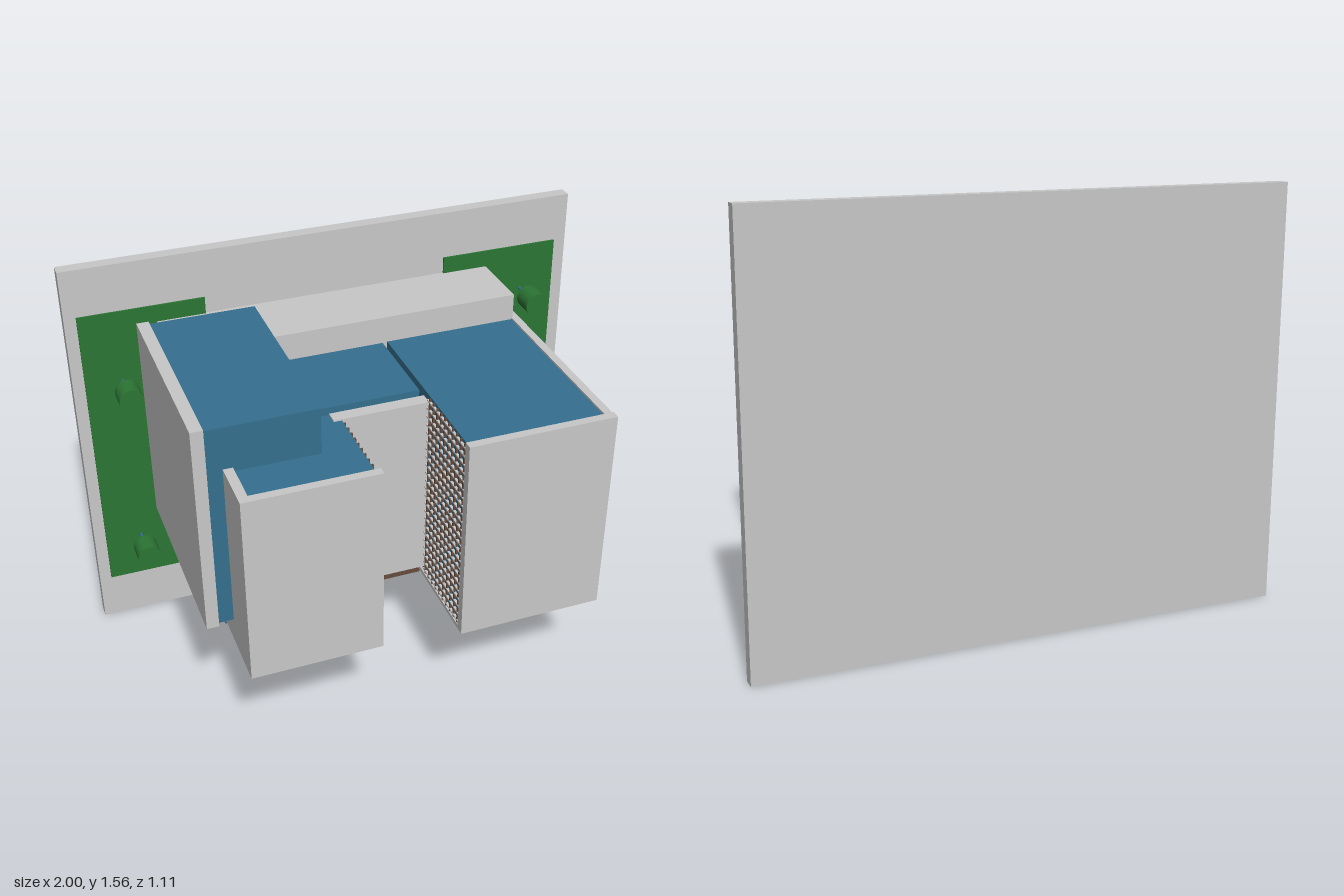
import * as THREE from 'three';
import { mergeGeometries } from 'three/addons/utils/BufferGeometryUtils.js';

const material = (name, color) => {
  const m = new THREE.MeshStandardMaterial({ color });
  m.name = name;
  return m;
};

// Box geometry from its lower and upper limits on each axis
function boxGeo(x0, x1, y0, y1, z0, z1) {
  return new THREE.BoxGeometry(x1 - x0, y1 - y0, z1 - z0)
    .translate((x0 + x1) / 2, (y0 + y1) / 2, (z0 + z1) / 2);
}

export function createModel() {
  const model = new THREE.Group();
  model.name = 'model';
  const grey = material('light grey', 0xc8c8c8);
  const blue = material('steel blue', 0x35708f);
  const green = material('leaf green', 0x2c7534);
  const brown = material('wood brown', 0x654c3d);

  const add = (name, geometry, mat) => {
    const mesh = new THREE.Mesh(geometry, mat);
    mesh.name = name;
    model.add(mesh);
    return mesh;
  };
  const box = (name, mat, ...limits) => add(name, boxGeo(...limits), mat);

  // Backing wall, its green panels and the raised block behind the bays
  box('wall', grey, -1, 1, 0, 1.56, -0.555, -0.505);
  box('rightPanel', green, -0.955, -0.48, 0.19, 1.375, -0.505, -0.498);
  box('leftPanel', green, 0.475, 0.95, 0.19, 1.375, -0.505, -0.498);
  box('backBlock', grey, -0.665, 0.655, 0.325, 1.31, -0.505, -0.235);

  // Tall bay on the model's left
  box('leftBayBody', blue, 0.14, 0.65, 0.43, 1.207, -0.235, 0.52);
  box('leftBayFront', grey, 0.13, 0.68, 0.415, 1.22, 0.52, 0.553);
  box('leftBaySide', grey, 0.65, 0.68, 0.415, 1.214, -0.395, 0.52);
  box('leftBayInnerRim', grey, 0.13, 0.14, 0.415, 0.43, -0.235, 0.52);

  // Bay on the model's right
  box('rightBayBody', blue, -0.62, -0.185, 0.475, 1.175, -0.235, 0.52);
  box('rightBayFront', grey, -0.655, -0.17, 0.45, 1.19, 0.52, 0.553);
  box('rightBaySide', grey, -0.655, -0.62, 0.45, 1.19, -0.235, 0.52);

  // Connecting middle bay
  box('middleBody', blue, -0.315, 0.122, 0.445, 1.205, -0.235, 0.13);
  box('middleFront', grey, -0.215, 0.14, 0.45, 1.18, 0.13, 0.18);

  // Raised box with its outer side plate
  box('raisedBox', blue, -0.71, -0.315, 0.555, 1.35, -0.415, 0.35);
  box('raisedBoxSide', grey, -0.755, -0.71, 0.545, 1.357, -0.42, 0.357);

  // Lattices on the facing inner sides of the two bays
  function lattice(name, x0, x1, y0, y1) {
    const rails = [], posts = [];
    for (let y = y0 + 0.01; y < y1 - 0.006; y += 0.034)
      rails.push(boxGeo(x0, x1, y, y + 0.006, 0.18, 0.52));
    for (let z = 0.195; z < 0.515; z += 0.034)
      posts.push(boxGeo(x0 + 0.001, x1 - 0.001, y0, y1, z, z + 0.006));
    add(name + 'Rails', mergeGeometries(rails), grey);
    add(name + 'Posts', mergeGeometries(posts), brown);
  }
  lattice('rightBayLattice', -0.186, -0.176, 0.46, 1.175);
  lattice('leftBayLattice', 0.131, 0.141, 0.43, 1.205);

  // Slatted underside of the right bay and its hanging tray
  const slats = [];
  for (let z = -0.21; z < 0.51; z += 0.04)
    slats.push(boxGeo(-0.62, -0.18, 0.452, 0.464, z, z + 0.018));
  add('undersideSlats', mergeGeometries(slats), grey);
  for (const x of [-0.64, -0.436])
    box('traySide', grey, x, x + 0.016, 0.42, 0.452, -0.12, -0.105);
  box('trayBase', grey, -0.64, -0.42, 0.42, 0.43, -0.12, -0.105);

  // Thin strips under both bays
  for (const x of [-0.65, 0.4])
    for (const z of [0.175, 0.04, -0.1])
      box('undersideStrip', blue, x, x + 0.25, 0.402, 0.408, z - 0.011, z + 0.011);

  // Low wooden bench with ribbed apron
  box('benchTop', blue, -0.53, 0.53, 0.315, 0.326, -0.47, -0.215);
  box('benchSlab', brown, -0.26, 0.26, 0.27, 0.315, -0.445, -0.222);
  box('benchApron', brown, -0.29, 0.29, 0.08, 0.3, -0.248, -0.226);
  const ribs = [];
  for (let i = 0; i < 15; i++) {
    const x = -0.285 + i * 0.0396;
    ribs.push(boxGeo(x, x + 0.018, 0.08, 0.3, -0.256, -0.248));
  }
  add('apronRibs', mergeGeometries(ribs), brown);
  box('benchTray', grey, -0.25, 0.25, 0.262, 0.27, -0.45, -0.3);
  box('frontStrip', blue, -0.19, 0.2, 0.272, 0.278, -0.2, -0.165);
  box('rearStrip', blue, -0.28, 0.28, 0.3, 0.312, -0.47, -0.445);
  const leaning = box('leaningPanel', grey, -0.305, 0.305, -0.085, 0.085, -0.004, 0.004);
  leaning.position.set(0, 0.187, -0.468);
  leaning.rotation.x = -0.14;

  // Round knobs on thin rods
  const knobGeo = new THREE.CylinderGeometry(0.046, 0.046, 0.085, 32).rotateX(Math.PI / 2);
  const rodGeo = new THREE.CylinderGeometry(0.006, 0.006, 0.085, 12).rotateX(Math.PI / 2);
  const knobs = [[-0.815, 1.09], [-0.815, 0.375], [0.81, 1.19], [0.81, 0.445], [-0.597, 0.14], [0.59, 0.14]];
  for (const [x, y] of knobs) {
    add('knob', knobGeo, green).position.set(x, y, -0.378);
    add('knobRod', rodGeo, blue).position.set(x, y, -0.4625);
  }
  return model;
}
